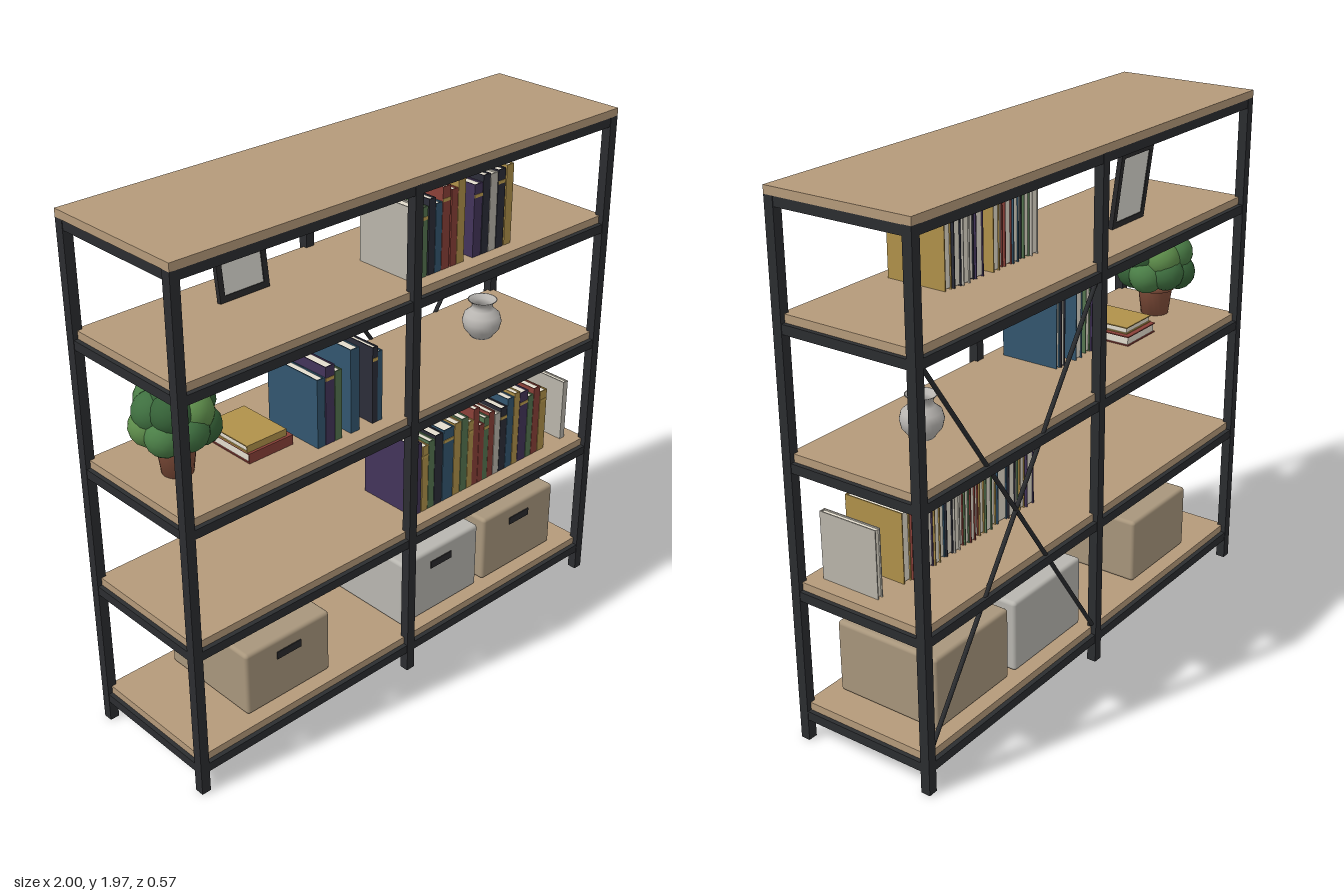
import * as THREE from 'three';
import { RoundedBoxGeometry } from 'three/addons/geometries/RoundedBoxGeometry.js';

const mat = (color) => new THREE.MeshStandardMaterial({ color });
const M = {
  wood: mat(0xb59a7a), metal: mat(0x2b2d30), pages: mat(0xe2dccd), gold: mat(0xc0a050),
  tanBox: mat(0xa8967c), greyBox: mat(0xb8b6b0), dark: mat(0x2a2a2c), picture: mat(0xdcdad2),
  pot: mat(0x85503c), soil: mat(0x3a2a20), vase: mat(0xb9b6b2),
};
M.vase.side = M.pot.side = THREE.DoubleSide;
const covers = {
  p: mat(0x43345a), b: mat(0x33566f), g: mat(0x557550), r: mat(0x8a4038),
  y: mat(0xb0914a), d: mat(0x2b2c38), w: mat(0xb9b5aa),
};
const leaves = [0x3f7040, 0x4c8048, 0x5f8f4c, 0x366338].map(mat);

function add(parent, name, geometry, material, x = 0, y = 0, z = 0) {
  const mesh = new THREE.Mesh(geometry, material);
  mesh.name = name;
  mesh.position.set(x, y, z);
  parent.add(mesh);
  return mesh;
}
const box = (parent, name, m, w, h, d, x, y, z) =>
  add(parent, name, new THREE.BoxGeometry(w, h, d), m, x, y, z);
function group(parent, name, x, y, z) {
  const g = new THREE.Group();
  g.name = name;
  g.position.set(x, y, z);
  parent.add(g);
  return g;
}

// Upright book standing on its origin, spine towards +z at z = 0
function book(parent, x, y, z, w, h, d, cover, band) {
  const g = group(parent, 'book', x, y, z), t = 0.004;
  for (const s of [-1, 1]) box(g, 'cover', cover, t, h, d, s * (w - t) / 2, h / 2, -d / 2);
  box(g, 'spine', cover, w - 2 * t, h, t, 0, h / 2, -t / 2);
  box(g, 'pages', M.pages, w - 2 * t, h - 0.01, d - t - 0.005, 0, h / 2, -t - (d - t - 0.005) / 2);
  if (band) box(g, 'spineBand', M.gold, w * 0.98, 0.012, 0.002, 0, h * 0.84, 0.0005);
  return g;
}

// Rows of [left edge, thickness, height, cover]
const topRow = [
  [.043, .037, .263, 'w'], [.085, .032, .252, 'g'], [.123, .03, .274, 'd'], [.155, .03, .25, 'b'],
  [.187, .037, .3, 'r'], [.23, .03, .28, 'r'], [.262, .035, .31, 'y'], [.342, .04, .267, 'p'],
  [.385, .035, .29, 'd'], [.422, .035, .285, 'w'], [.46, .037, .29, 'd'], [.503, .035, .297, 'y'],
];
const middleRow = [
  [-.385, .034, .257, 'b'], [-.348, .04, .292, 'p'], [-.305, .03, .262, 'g'],
  [-.235, .04, .316, 'b'], [-.134, .024, .289, 'd'], [-.11, .022, .267, 'b'],
];
const lowRow = [
  [.07, .043, .295, 'p'], [.118, .03, .274, 'y'], [.15, .03, .284, 'g'], [.182, .04, .295, 'd'],
  [.225, .055, .3, 'b'], [.283, .035, .305, 'y'], [.321, .035, .31, 'g'], [.358, .027, .284, 'y'],
  [.385, .03, .327, 'r'], [.417, .027, .247, 'r'], [.444, .025, .268, 'g'], [.47, .03, .28, 'r'],
  [.503, .03, .26, 'w'], [.535, .035, .274, 'd'], [.572, .035, .3, 'b'], [.61, .03, .31, 'y'],
  [.642, .045, .3, 'p'], [.69, .03, .268, 'g'], [.722, .035, .29, 'r'], [.76, .038, .263, 'y'],
  [.898, .025, .253, 'w'],
];
function bookRow(parent, name, y, row) {
  const g = group(parent, name, 0, y, 0);
  row.forEach(([x, w, h, c], i) =>
    book(g, x + w / 2, 0, 0.21, w, h, 0.25 - (i % 3) * 0.006, covers[c], i % 3 === 1));
}

function storageBox(parent, x, y, w, h, material) {
  const g = group(parent, 'storageBox', x, y, 0);
  add(g, 'boxBody', new RoundedBoxGeometry(w, h, 0.43, 3, 0.014), material, 0, h / 2, 0);
  box(g, 'boxHandle', M.dark, 0.11, 0.03, 0.008, 0, h - 0.066, 0.215);
}

function plant(parent, x, y, z) {
  const g = group(parent, 'plant', x, y, z);
  const profile = [[0, 0], [.054, 0], [.067, .1], [.074, .1], [.074, .12], [.064, .12], [.06, .1]];
  add(g, 'pot', new THREE.LatheGeometry(profile.map(p => new THREE.Vector2(...p)), 20), M.pot);
  add(g, 'soil', new THREE.CylinderGeometry(.062, .062, .01, 20), M.soil, 0, .103, 0);
  add(g, 'foliage', new THREE.IcosahedronGeometry(.115, 2), leaves[0], 0, .225, 0);
  // Rings of leaf clumps around the core
  for (const [count, radius, height, size] of [[7, .085, .175, .07], [6, .07, .24, .074], [3, .03, .275, .068]])
    for (let i = 0; i < count; i++) {
      const a = (i + height * 5) / count * Math.PI * 2;
      const clump = add(g, 'leafClump', new THREE.IcosahedronGeometry(size, 2), leaves[(i + count) % 4],
        Math.cos(a) * radius, height + (i % 2) * .012, Math.sin(a) * radius);
      clump.rotation.set(i, a, 0);
    }
}

export function createModel() {
  const model = new THREE.Group();
  model.name = 'bookshelf';
  const shelfTops = [0.145, 0.617, 1.088, 1.563], px = 0.982, pz = 0.267, post = 0.036;

  // Frame posts
  const frame = group(model, 'frame', 0, 0, 0);
  for (const x of [-px, 0, px])
    for (const z of [-pz, pz]) box(frame, 'post', M.metal, post, 1.942, post, x, 0.971, z);

  // Rails under every board
  for (const top of [...shelfTops, 1.97]) {
    const y = top - 0.046;
    for (const s of [-1, 1]) {
      box(frame, 'longRail', M.metal, px * 2, 0.034, 0.032, 0, y, s * pz);
      box(frame, 'sideRail', M.metal, 0.032, 0.034, pz * 2, s * px, y, 0);
    }
  }

  // Boards
  box(model, 'topBoard', M.wood, 2, 0.029, 0.57, 0, 1.9555, 0);
  for (const y of shelfTops) box(model, 'shelfBoard', M.wood, px * 2, 0.029, 0.53, 0, y - 0.0145, 0);

  // Crossed braces behind the left bay
  for (const s of [-1, 1]) {
    const brace = add(frame, 'crossBrace', new THREE.CylinderGeometry(.008, .008, Math.hypot(.94, 1.35), 10),
      M.metal, .49, .835, -pz);
    brace.rotation.z = s * Math.atan2(.94, 1.35);
  }

  // Storage boxes
  storageBox(model, -.54, .147, .386, .258, M.tanBox);
  storageBox(model, .224, .147, .408, .278, M.greyBox);
  storageBox(model, .665, .147, .402, .278, M.tanBox);

  // Standing books
  bookRow(model, 'topBooks', shelfTops[3], topRow);
  bookRow(model, 'middleBooks', shelfTops[2], middleRow);
  bookRow(model, 'lowBooks', shelfTops[1], lowRow);

  // Two books lying flat
  const stack = group(model, 'bookStack', -.52, shelfTops[2], 0.13);
  const lower = book(stack, .095, .019, 0, .037, .19, .25, covers.r, false);
  const upper = book(stack, .075, .0505, -.01, .026, .17, .22, covers.y, false);
  for (const b of [lower, upper]) b.rotation.z = Math.PI / 2;

  plant(model, -.81, shelfTops[2], 0);

  // Vase
  const vaseProfile = [[0, 0], [.042, 0], [.046, .008], [.068, .035], [.075, .065], [.068, .092], [.045, .112],
    [.039, .124], [.042, .138], [.056, .151], [.051, .151], [.036, .136], [.034, .122], [.04, .108]];
  add(model, 'vase', new THREE.LatheGeometry(vaseProfile.map(p => new THREE.Vector2(...p)), 32),
    M.vase, .64, shelfTops[2], 0);

  // Picture frame leaning back
  const picture = group(model, 'pictureFrame', -.43, shelfTops[3] + .002, -.095);
  picture.rotation.x = -0.13;
  for (const s of [-1, 1]) {
    box(picture, 'frameSide', M.dark, .022, .284, .018, s * .094, .142, 0);
    box(picture, 'frameBar', M.dark, .17, .022, .018, 0, .142 + s * .131, 0);
  }
  box(picture, 'picturePanel', M.picture, .17, .244, .01, 0, .142, 0);
  return model;
}
